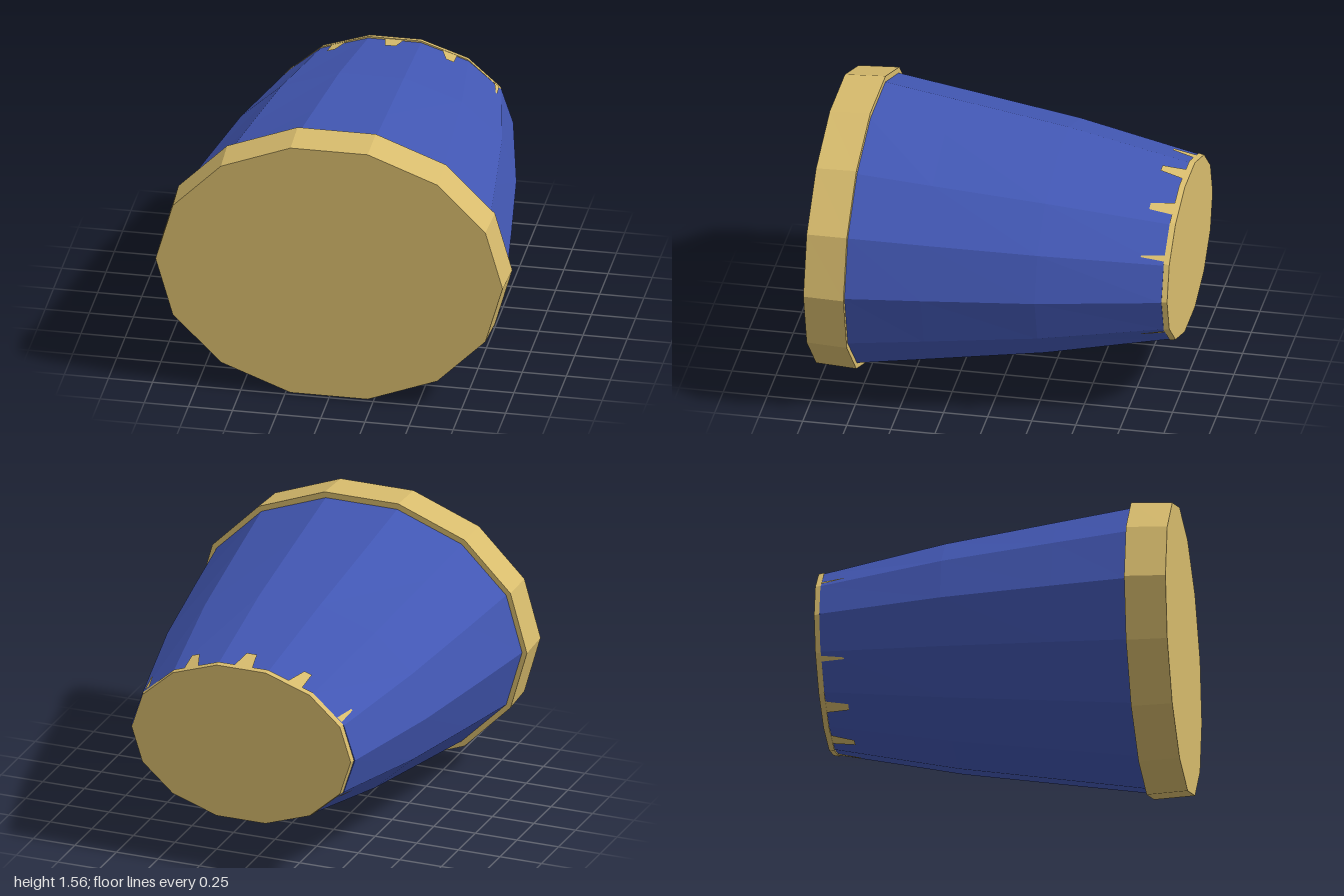
import * as THREE from 'three';

const SIDES = 14, CENTRE_Y = 0.78;

// Sections run back to front: [z, half width, half height] of the ellipse
const BODY = [[-0.97, 0.672, 0.464], [-0.28, 0.82, 0.603], [0.35, 0.91, 0.7], [0.77, 0.966, 0.765]];
const BACK_CAP = [[-1, 0.659, 0.469], [-0.968, 0.667, 0.475]];
const FRONT_BAND = [[0.77, 0.995, 0.8], [1, 0.983, 0.788]];

// Closed, faceted loft through elliptical sections along z
function loft(sections) {
  const last = sections.length - 1;
  const g = new THREE.CylinderGeometry(1, 1, 1, SIDES, last, false, Math.PI / 2);
  g.rotateX(Math.PI / 2);
  const p = g.attributes.position;
  for (let i = 0; i < p.count; i++) {
    const [z, rx, ry] = sections[Math.round((p.getZ(i) + 0.5) * last)];
    p.setXYZ(i, p.getX(i) * rx, CENTRE_Y + p.getY(i) * ry, z);
  }
  const flat = g.toNonIndexed();
  flat.computeVertexNormals();
  return flat;
}

// Height of the faceted body above its axis at (x, z), for the rear stretch
function bodyHeight(x, z) {
  const [a, b] = BODY;
  const t = (z - a[0]) / (b[0] - a[0]);
  const rx = a[1] + t * (b[1] - a[1]), ry = a[2] + t * (b[2] - a[2]);
  const step = (2 * Math.PI) / SIDES;
  const k = Math.floor(Math.acos(Math.min(1, Math.abs(x) / rx)) / step);
  const x0 = rx * Math.cos(k * step), x1 = rx * Math.cos((k + 1) * step);
  const y0 = ry * Math.sin(k * step), y1 = ry * Math.sin((k + 1) * step);
  return y0 + ((Math.abs(x) - x0) / (x1 - x0)) * (y1 - y0);
}

// Thin tapered tooth lying on the body: base edge at the cap, narrower tip
function tooth([b0, b1, t0, t1], sx, sy) {
  const corner = (x, z) => [x * sx, CENTRE_Y + sy * (bodyHeight(x, z) + 0.007), z];
  const pts = [corner(b0, -0.969), corner(t0, -0.84), corner(t1, -0.84), corner(b1, -0.969)];
  const g = new THREE.BufferGeometry();
  g.setAttribute('position', new THREE.Float32BufferAttribute(pts.flat(), 3));
  g.setIndex(sx * sy > 0 ? [0, 1, 2, 0, 2, 3] : [0, 2, 1, 0, 3, 2]);
  g.computeVertexNormals();
  return g;
}

export function createModel() {
  const blue = new THREE.MeshStandardMaterial({ color: 0x4257b3 });
  blue.name = 'blue';
  const gold = new THREE.MeshStandardMaterial({ color: 0xd8bc6d, side: THREE.DoubleSide });
  gold.name = 'gold';

  const model = new THREE.Group();
  model.name = 'taperedBarrel';
  const add = (name, geometry, material) => {
    const mesh = new THREE.Mesh(geometry, material);
    mesh.name = name;
    model.add(mesh);
  };

  add('body', loft(BODY), blue);
  add('frontBand', loft(FRONT_BAND), gold);
  add('backCap', loft(BACK_CAP), gold);

  // Five teeth above and five below: x of base edge, x of tip edge
  const centre = [-0.055, 0.055, -0.03, 0.03];
  const sides = [[0.27, 0.355, 0.315, 0.36], [0.565, 0.592, 0.597, 0.605]];
  for (const sy of [1, -1]) {
    add('tooth', tooth(centre, 1, sy), gold);
    for (const spec of sides) for (const sx of [1, -1]) add('tooth', tooth(spec, sx, sy), gold);
  }
  return model;
}
